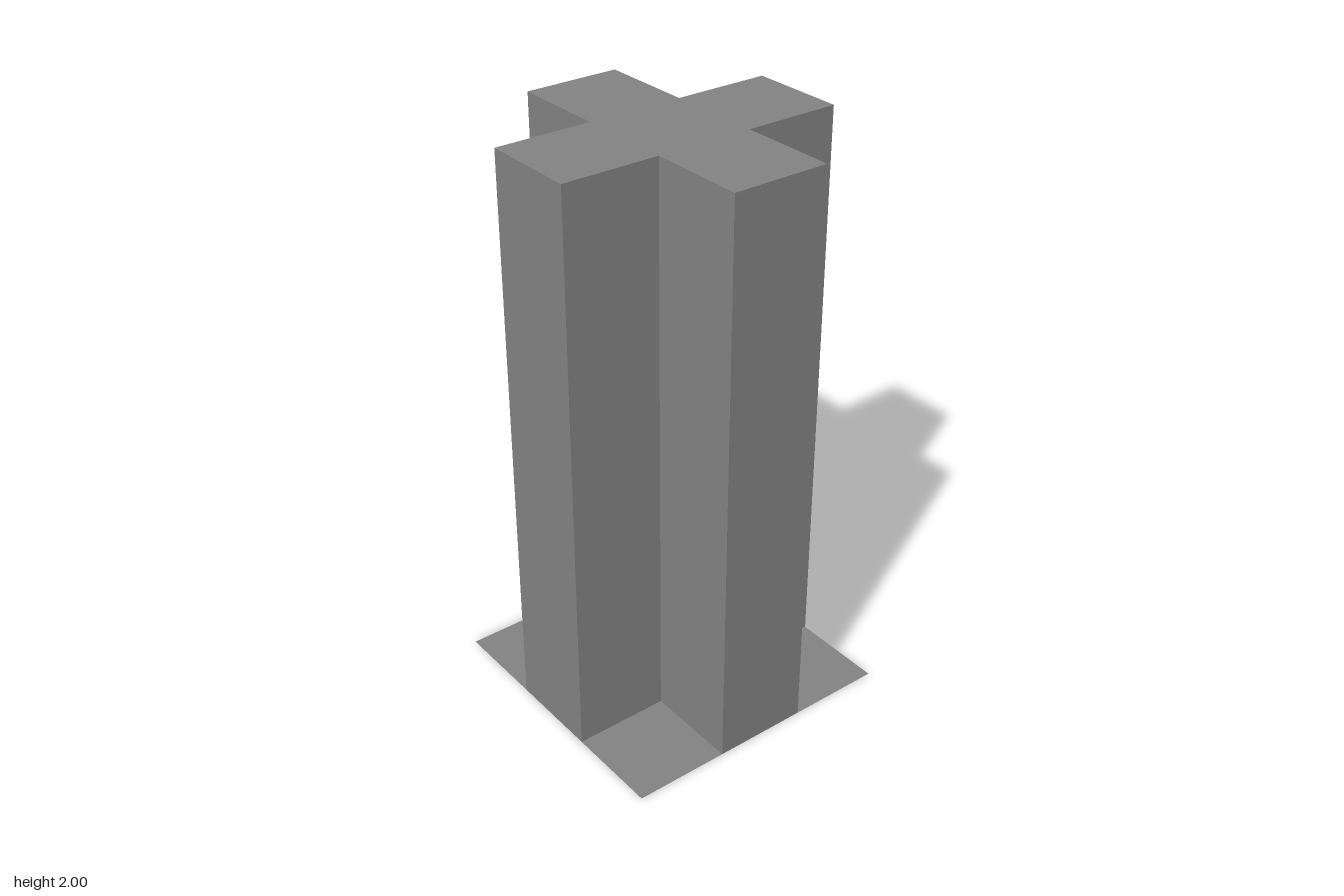
import * as THREE from 'three';

const HALF = 0.5, ARM = 1 / 6, HEIGHT = 2;
const REACH = HALF - ARM; // how far each arm stands out from the core

export function createModel() {
  const model = new THREE.Group();
  const material = new THREE.MeshStandardMaterial({ color: 0x828282, side: THREE.DoubleSide, flatShading: true });

  function add(parent, name, geometry) {
    const mesh = new THREE.Mesh(geometry, material);
    mesh.name = name;
    parent.add(mesh);
    return mesh;
  }

  // Cross-shaped roof closing the hollow shaft
  const cross = new THREE.Shape();
  for (let i = 0; i < 4; i++) {
    for (const [x, y] of [[HALF, -ARM], [HALF, ARM], [ARM, ARM]]) {
      const p = new THREE.Vector2(x, y).rotateAround(new THREE.Vector2(), i * Math.PI / 2);
      if (i === 0 && y < 0) cross.moveTo(p.x, p.y);
      else cross.lineTo(p.x, p.y);
    }
  }
  cross.closePath();
  add(model, 'roof', new THREE.ShapeGeometry(cross).rotateX(-Math.PI / 2).translate(0, HEIGHT, 0));

  // Four arms, open underneath, each with a flat base plate filling the corner beside it
  for (let i = 0; i < 4; i++) {
    const arm = new THREE.Group();
    arm.name = `arm${i + 1}`;
    arm.rotation.y = i * Math.PI / 2;
    model.add(arm);

    add(arm, 'endWall', new THREE.PlaneGeometry(2 * ARM, HEIGHT)).position.set(0, HEIGHT / 2, HALF);
    for (const side of [1, -1]) {
      const wall = add(arm, side > 0 ? 'leftWall' : 'rightWall', new THREE.PlaneGeometry(REACH, HEIGHT));
      wall.position.set(side * ARM, HEIGHT / 2, ARM + REACH / 2);
      wall.rotation.y = side * Math.PI / 2;
    }

    const plate = add(arm, 'cornerPlate', new THREE.PlaneGeometry(REACH, REACH));
    plate.rotation.x = -Math.PI / 2;
    plate.position.set(ARM + REACH / 2, 0, ARM + REACH / 2);
  }

  return model;
}
